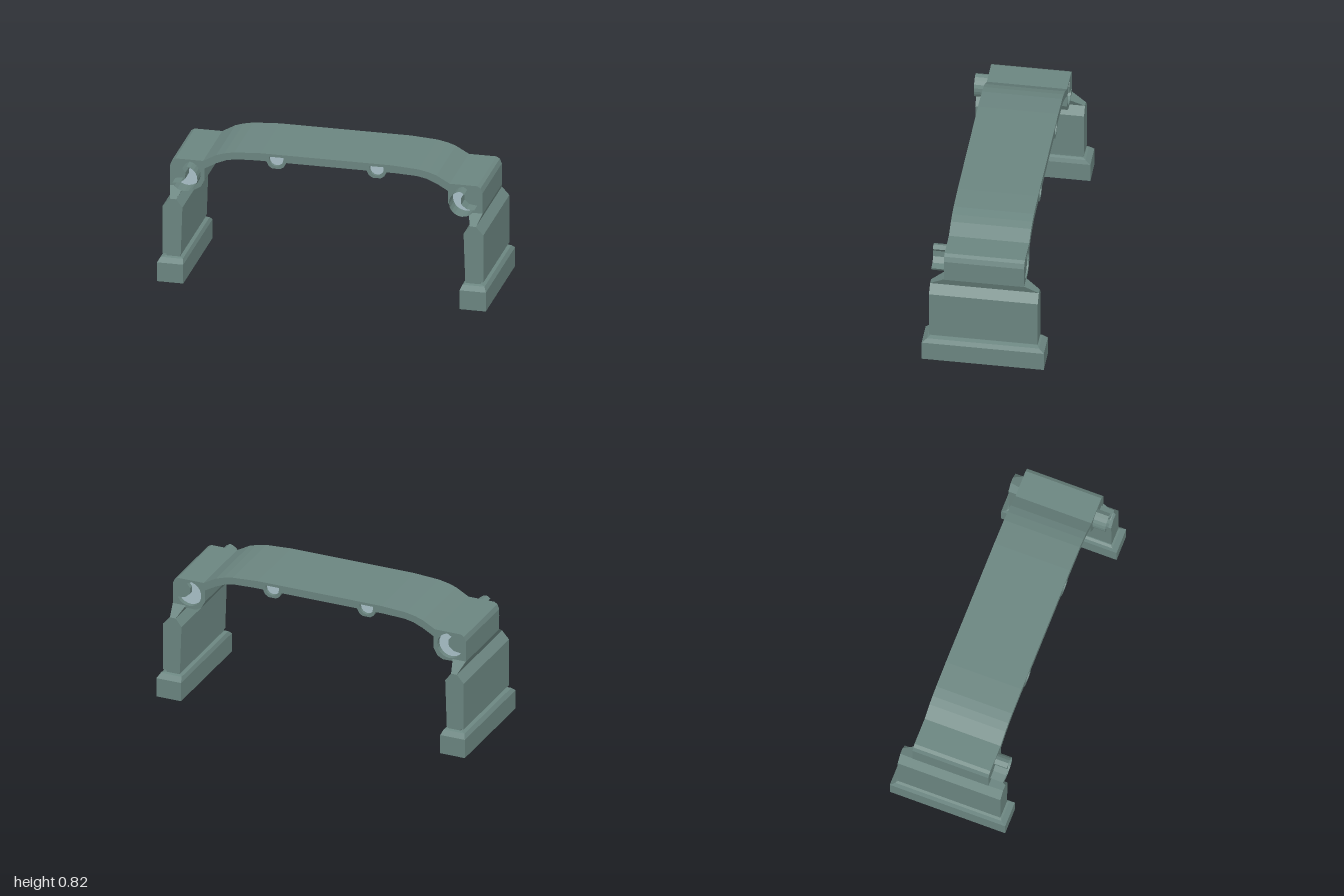
import * as THREE from 'three';

const green = new THREE.MeshStandardMaterial({ color: 0x6b8580, flatShading: true });
const thin = new THREE.MeshStandardMaterial({ color: 0x6b8580, flatShading: true, side: THREE.DoubleSide });
const pale = new THREE.MeshStandardMaterial({ color: 0xa9c0c8, flatShading: true });

const toPoints = list => list.map(([x, y]) => new THREE.Vector2(x, y));
const mirror = list => list.map(([x, y]) => [-x, y]).reverse();

// Arc as a list of points, angles in degrees
function arc(cx, cy, r, from, to, steps) {
  return Array.from({ length: steps + 1 }, (_, i) => {
    const a = THREE.MathUtils.degToRad(from + (to - from) * i / steps);
    return [cx + r * Math.cos(a), cy + r * Math.sin(a)];
  });
}

// Extrude an outline along z between two depths
function extrude(name, outline, z0, z1, material, holes = []) {
  const shape = new THREE.Shape(toPoints(outline));
  shape.holes = holes.map(h => new THREE.Path(toPoints(h)));
  const geo = new THREE.ExtrudeGeometry(shape, { depth: z1 - z0, bevelEnabled: false });
  geo.translate(0, 0, z0);
  const mesh = new THREE.Mesh(geo, material);
  mesh.name = name;
  return mesh;
}

// Open wall following an outline along z
function wall(name, outline, z0, z1) {
  const pos = [];
  outline.forEach(([x, y], i) => {
    const [u, v] = outline[(i + 1) % outline.length];
    pos.push(x, y, z0, u, v, z0, u, v, z1, x, y, z0, u, v, z1, x, y, z1);
  });
  const geo = new THREE.BufferGeometry();
  geo.setAttribute('position', new THREE.Float32BufferAttribute(pos, 3));
  geo.computeVertexNormals();
  const mesh = new THREE.Mesh(geo, thin);
  mesh.name = name;
  return mesh;
}

// Stack of rectangular sections [y, x0, x1, halfDepth], bottom to top
function loft(name, sections) {
  const pos = [], index = [];
  for (const [y, x0, x1, z] of sections) pos.push(x0, y, z, x1, y, z, x1, y, -z, x0, y, -z);
  for (let s = 0; s < sections.length - 1; s++) {
    for (let k = 0; k < 4; k++) {
      const a = s * 4 + k, b = s * 4 + (k + 1) % 4;
      index.push(a, b, b + 4, a, b + 4, a + 4);
    }
  }
  const t = (sections.length - 1) * 4;
  index.push(0, 2, 1, 0, 3, 2, t, t + 1, t + 2, t, t + 2, t + 3);
  const geo = new THREE.BufferGeometry();
  geo.setAttribute('position', new THREE.Float32BufferAttribute(pos, 3));
  geo.setIndex(index);
  const flat = geo.toNonIndexed();
  flat.computeVertexNormals();
  const mesh = new THREE.Mesh(flat, green);
  mesh.name = name;
  return mesh;
}

export function createModel() {
  const model = new THREE.Group();

  // Underside of the right half, from the outer end to the middle, with rail bump
  const under = [
    [-0.95, 0.567], [-0.915, 0.558], [-0.80, 0.555], [-0.765, 0.575], [-0.74, 0.62],
    [-0.74, 0.695], [-0.67, 0.735], [-0.61, 0.76], [-0.55, 0.772], [-0.42, 0.777],
    [-0.365, 0.777], [-0.352, 0.75], [-0.33, 0.735], [-0.28, 0.735], [-0.258, 0.75], [-0.245, 0.777],
  ];
  // Top side of the right half, from the middle to the outer end
  const top = [
    [-0.40, 0.825], [-0.56, 0.815], [-0.62, 0.803], [-0.67, 0.787], [-0.75, 0.742],
    [-0.918, 0.742], [-0.938, 0.73], [-0.95, 0.70],
  ];
  const outline = [...under, ...mirror(under), ...mirror(top), ...top];

  // Crescent sockets at the ends and half-round channels in the rails
  const crescent = [
    ...arc(-0.845, 0.652, 0.08, 205, 440, 14),
    [-0.857, 0.715], [-0.838, 0.69], [-0.84, 0.65], [-0.87, 0.624],
  ];
  const channel = [[-0.348, 0.808], ...arc(-0.305, 0.793, 0.043, 180, 360, 8), [-0.262, 0.808]];
  const sockets = [crescent, mirror(crescent)];
  const channels = [channel, mirror(channel)];
  model.add(extrude('arch', outline, -0.24, 0.24, green, [...sockets, ...channels]));

  for (const s of sockets) {
    model.add(wall('hookTube', s, 0.24, 0.32));
    model.add(extrude('socketCore', s, -0.21, 0.22, pale));
  }
  for (const c of channels) model.add(extrude('railCore', c, -0.22, 0.22, pale));

  // Legs and feet on both sides
  for (const side of [1, -1]) {
    const place = sections => sections.map(([y, a, b, z]) =>
      side > 0 ? [y, a, b, z] : [y, -b, -a, z]);
    const leg = loft('leg', place([
      [0.14, 0.87, 0.95, 0.32], [0.165, 0.87, 0.955, 0.32], [0.166, 0.865, 0.975, 0.325],
      [0.467, 0.855, 0.975, 0.325], [0.517, 0.893, 0.93, 0.325], [0.57, 0.865, 0.95, 0.24],
    ]));
    const foot = loft('foot', place([
      [0, 0.84, 1, 0.365], [0.12, 0.84, 1, 0.365], [0.145, 0.85, 0.985, 0.335], [0.152, 0.865, 0.96, 0.32],
    ]));
    model.add(leg, foot);
  }
  return model;
}
